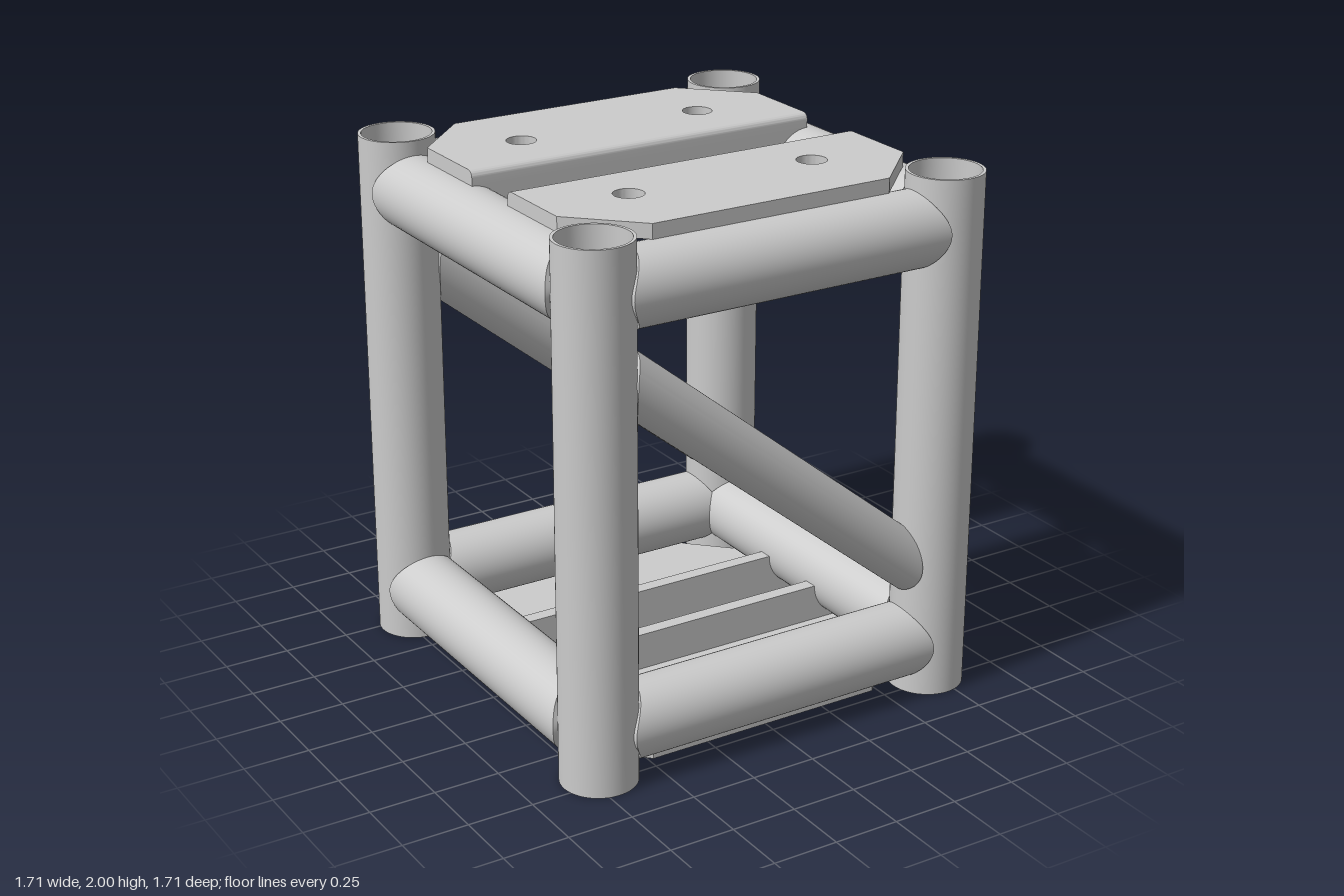
import * as THREE from 'three';
import { toCreasedNormals } from 'three/addons/utils/BufferGeometryUtils.js';

const C = 0.713;   // post axis offset in x and z
const R = 0.142;   // outer radius of posts and beams
const BEAM_Y = 0.803; // beam height above and below mid height
const T = 0.055;   // plate thickness

const material = new THREE.MeshStandardMaterial({ color: 0xcccccc });

function add(parent, name, geometry) {
  const mesh = new THREE.Mesh(toCreasedNormals(geometry, Math.PI / 5), material);
  mesh.name = name;
  parent.add(mesh);
  return mesh;
}

// Hollow tube along y with square ends
function tube(ro, ri, half) {
  const profile = [[ri, -half], [ro, -half], [ro, half], [ri, half], [ri, -half]];
  return new THREE.LatheGeometry(profile.map(p => new THREE.Vector2(...p)), 64);
}

// Hollow tube between two posts at x = -C and x = C, its ends saddle-cut
// to the posts; angle is its slope in the xy plane
function copedTube(ro, ri, angle) {
  const geo = tube(ro, ri, 1);
  const pos = geo.attributes.position;
  for (let i = 0; i < pos.count; i++) {
    const x = pos.getX(i), z = pos.getZ(i);
    const r = Math.hypot(x, z);
    const reach = C - Math.sqrt(R * R - (ri * z / r) ** 2);
    const end = Math.sign(pos.getY(i)) * reach;
    pos.setY(i, (end - ri * x / r * Math.sin(angle)) / Math.cos(angle));
  }
  return geo.rotateZ(angle - Math.PI / 2);
}

// Bent mounting plate: flat sheet with holes, rounded bend and hanging flange
function mountingPlate() {
  const plate = new THREE.Group();
  const w = 0.71, inner = 0.13, bend = 0.025;

  const sheet = new THREE.Shape([
    [-w, inner + bend], [w, inner + bend], [w, 0.47], [0.48, 0.7], [-0.48, 0.7], [-w, 0.47],
  ].map(p => new THREE.Vector2(...p)));
  for (const s of [-1, 1]) {
    sheet.holes.push(new THREE.Path().absarc(s * 0.377, 0.377, 0.056, 0, Math.PI * 2, true));
  }
  add(plate, 'plateSheet', new THREE.ExtrudeGeometry(sheet,
    { depth: T, bevelEnabled: false, curveSegments: 24 }).rotateX(Math.PI / 2).translate(0, 1, 0));

  const corner = new THREE.Shape();
  corner.moveTo(inner, 1 - T);
  corner.lineTo(inner + bend, 1 - T);
  corner.lineTo(inner + bend, 1);
  corner.absarc(inner + bend, 1 - bend, bend, Math.PI / 2, Math.PI, false);
  add(plate, 'plateBend', new THREE.ExtrudeGeometry(corner,
    { depth: 2 * w, bevelEnabled: false, curveSegments: 8 }).rotateY(-Math.PI / 2).translate(w, 0, 0));

  // Flange ends are cut to fit the side beams
  const web = new THREE.Shape();
  web.moveTo(-C + R, BEAM_Y);
  web.lineTo(C - R, BEAM_Y);
  web.absarc(C, BEAM_Y, R, Math.PI, Math.PI / 2, true);
  web.lineTo(-C, BEAM_Y + R);
  web.absarc(-C, BEAM_Y, R, Math.PI / 2, 0, true);
  add(plate, 'plateFlange', new THREE.ExtrudeGeometry(web,
    { depth: T, bevelEnabled: false, curveSegments: 16 }).translate(0, 0, inner));
  return plate;
}

export function createModel() {
  const model = new THREE.Group();
  model.name = 'trussSegment';
  const frame = new THREE.Group();
  frame.name = 'frame';
  frame.position.y = 1;
  model.add(frame);

  // Corner posts
  for (const x of [-C, C]) for (const z of [-C, C]) {
    add(frame, 'cornerPost', tube(R, 0.13, 1)).position.set(x, 0, z);
  }

  // Horizontal beams on the four sides, top and bottom
  for (let side = 0; side < 4; side++) {
    const wall = new THREE.Group();
    wall.name = 'sideBeams';
    wall.rotation.y = side * Math.PI / 2;
    frame.add(wall);
    for (const y of [-BEAM_Y, BEAM_Y]) {
      add(wall, 'beam', copedTube(R, 0.1235, 0)).position.set(0, y, C);
    }
  }

  // Diagonal braces, front and back
  for (const z of [-C, C]) {
    add(frame, 'diagonalBrace', copedTube(0.103, 0.092, -Math.atan(0.805))).position.z = z;
  }

  // Mounting plates, two on top and two below
  for (const turnX of [0, Math.PI]) for (const turnY of [0, Math.PI]) {
    const plate = mountingPlate();
    plate.name = 'mountingPlate';
    plate.rotation.set(turnX, turnY, 0);
    frame.add(plate);
  }
  return model;
}
